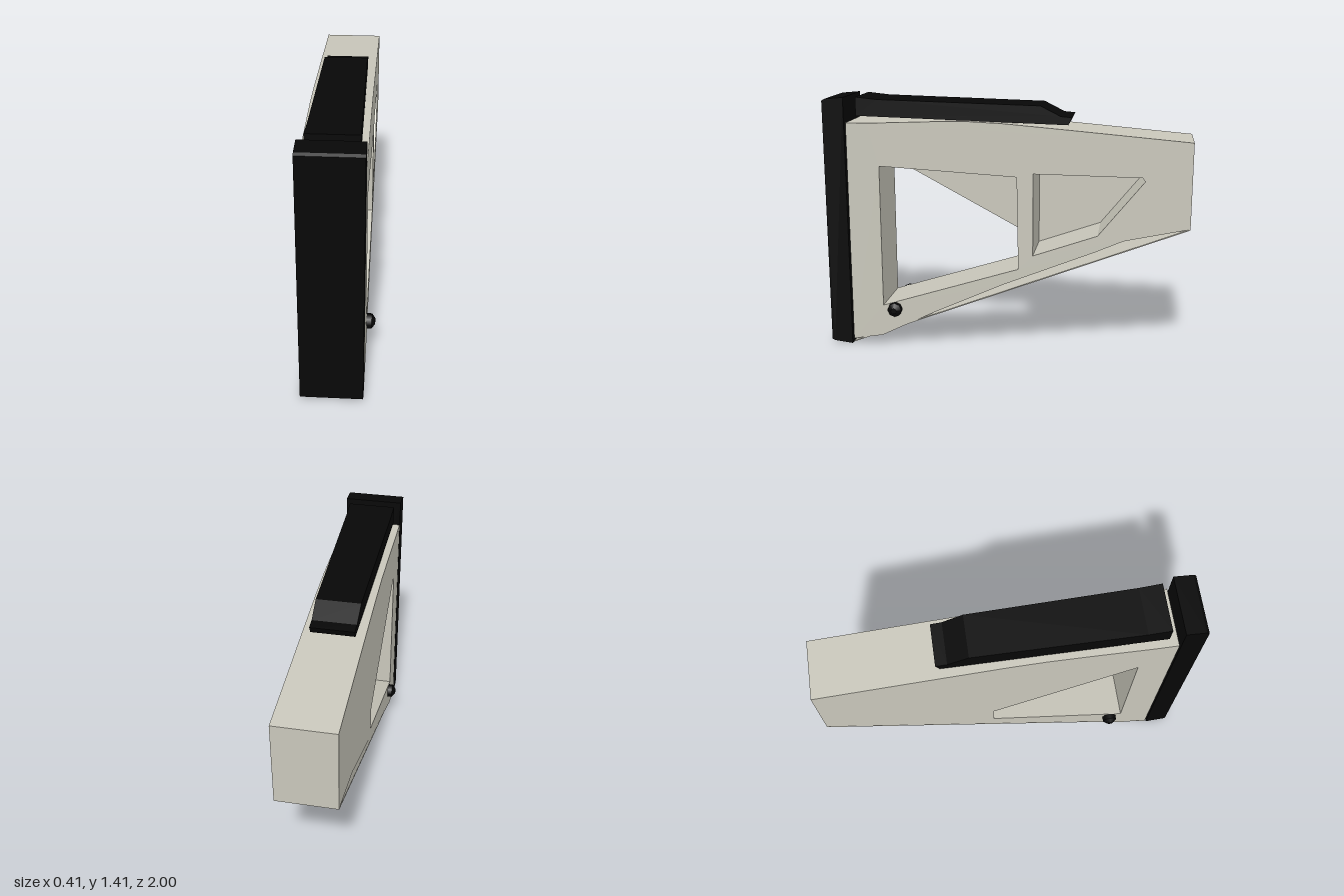
import * as THREE from 'three';

const shell = new THREE.MeshStandardMaterial({ color: 0xc9c7bb });
shell.name = 'stone grey shell';
const rubber = new THREE.MeshStandardMaterial({ color: 0x070707 });
rubber.name = 'black rubber';

// Side profiles are lists of [z, y]
const toVectors = (points) => points.map(([z, y]) => new THREE.Vector2(z, y));

// Extrude a counter-clockwise side profile across x, from xMin to xMax
function slab(name, material, points, holes, xMin, xMax) {
  const shape = new THREE.Shape(toVectors(points));
  holes.forEach((h) => shape.holes.push(new THREE.Path(toVectors(h))));
  const geometry = new THREE.ExtrudeGeometry(shape, { depth: xMax - xMin, bevelEnabled: false });
  geometry.rotateY(-Math.PI / 2).translate(xMax, 0, 0);
  const mesh = new THREE.Mesh(geometry, material);
  mesh.name = name;
  return mesh;
}

export function createModel() {
  const group = new THREE.Group();
  group.name = 'shoulderStock';

  const lowerEdge = [[-1, 0.745], [-0.65, 0.667], [-0.5, 0.6], [0, 0.395], [0.4, 0.21], [0.7, 0.06], [0.87, 0.03]];
  const outline = [
    [0.87, 1.275], [0.75, 1.275], [0.4, 1.29], [0.2, 1.295], [0, 1.287], [-0.35, 1.26], [-1, 1.207],
    ...lowerEdge,
  ];

  // Deep body, with the grip opening and the rear pocket
  const opening = [[0.69, 1.04], [0.69, 0.24], [-0.08, 0.485], [-0.07, 1.0]];
  const pocket = [[-0.16, 1.02], [-0.74, 1.015], [-0.755, 0.995], [-0.51, 0.69], [-0.16, 0.565]];
  group.add(slab('body', shell, outline, [opening, pocket], -0.15, 0.16));

  // Right wall closes the pocket and the upper half of the opening
  const rightOpening = [[0.69, 1.03], [0.69, 0.24], [-0.08, 0.485], [-0.08, 0.62]];
  group.add(slab('rightWall', shell, outline, [rightOpening], -0.16, -0.15));

  // Flat sole running straight under the body
  group.add(slab('sole', shell, [[0.87, 0.016], [-1, 0.746], [-1, 0.74], [0.87, 0.01]], [], -0.16, 0.16));

  // Right skirt between the body and the sole, facing outward only
  const skirtShape = new THREE.Shape(toVectors([...lowerEdge, [0.87, 0.012]]));
  const skirtGeometry = new THREE.ShapeGeometry(skirtShape);
  skirtGeometry.rotateY(-Math.PI / 2).translate(-0.159, 0, 0);
  const skirt = new THREE.Mesh(skirtGeometry, shell);
  skirt.name = 'rightSkirt';
  group.add(skirt);

  // Butt pad, slightly shorter at its outer face
  group.add(slab('buttPad', rubber,
    [[0.88, 1.412], [0.88, 0], [0.985, 0.012], [1, 0.02], [1, 1.392], [0.985, 1.402]].reverse(),
    [], -0.16, 0.16));

  // Cheek rest, narrowing toward the rear
  const cheekRest = slab('cheekRest', rubber,
    [[0.82, 1.31], [0.82, 1.412], [0.7, 1.4], [-0.19, 1.38], [-0.3, 1.325], [-0.36, 1.32], [-0.34, 1.28]],
    [], -0.13, 0.13);
  const position = cheekRest.geometry.attributes.position;
  for (let i = 0; i < position.count; i++) {
    const t = (0.82 - position.getZ(i)) / 1.18;
    position.setX(i, position.getX(i) * (1 - 0.12 * t));
  }
  cheekRest.geometry.computeVertexNormals();
  group.add(cheekRest);

  // Bolt heads on both sides
  for (const side of [-1, 1]) {
    const bolt = new THREE.Group();
    bolt.name = side > 0 ? 'leftBolt' : 'rightBolt';
    const base = new THREE.Mesh(new THREE.CylinderGeometry(0.04, 0.04, 0.03, 8), rubber);
    base.name = 'boltBase';
    const cap = new THREE.Mesh(new THREE.CylinderGeometry(0.016, 0.04, 0.018, 8), rubber);
    cap.name = 'boltCap';
    cap.position.y = 0.024;
    bolt.add(base, cap);
    bolt.rotation.z = -side * Math.PI / 2;
    bolt.position.set(side * 0.172, 0.222, 0.62);
    group.add(bolt);
  }

  return group;
}
